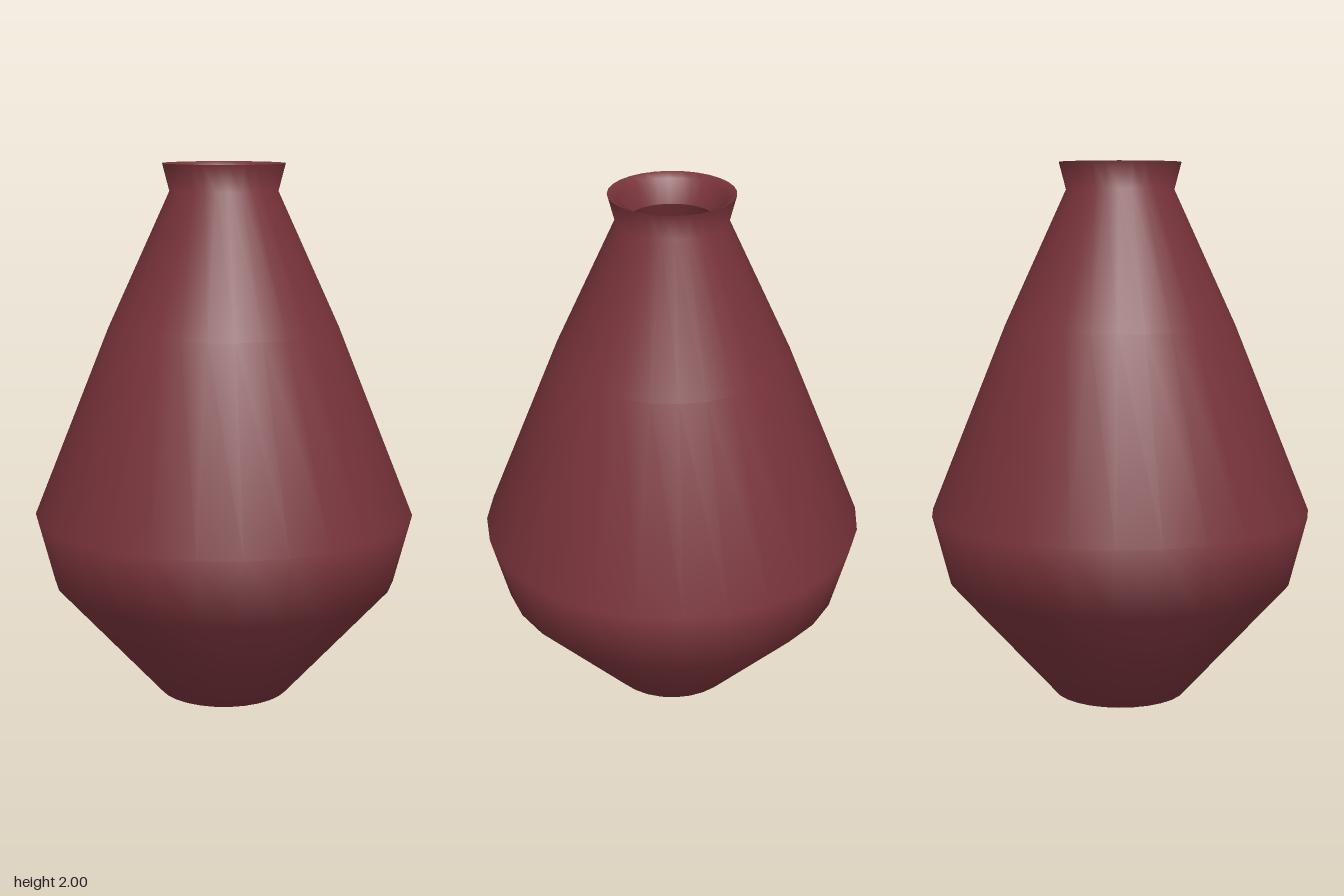
import * as THREE from 'three';

const SEGMENTS = 28;

export function createModel() {
  const vase = new THREE.Group();
  vase.name = 'vase';

  const clay = new THREE.MeshStandardMaterial({ color: 0x78333a });
  clay.name = 'dark red clay';

  const addLathe = (name, profile) => {
    const points = profile.map(([r, y]) => new THREE.Vector2(r, y));
    const mesh = new THREE.Mesh(new THREE.LatheGeometry(points, SEGMENTS), clay);
    mesh.name = name;
    vase.add(mesh);
  };

  // Outer wall: closed base, angular belly, tapering shoulder, flared neck
  addLathe('outerBody', [
    [0, 0], [0.25, 0], [0.645, 0.44], [0.712, 0.7],
    [0.43, 1.4], [0.2, 1.9], [0.226, 2],
  ]);

  // Lip joining the outer wall to the inside of the neck
  addLathe('lip', [[0.226, 2], [0.19, 1.985], [0.16, 1.9]]);

  // Hollow interior, running from the neck down to the floor
  addLathe('innerWall', [
    [0.16, 1.9], [0.39, 1.39], [0.665, 0.7], [0.6, 0.46], [0.23, 0.04],
  ]);

  // Flat inside floor
  addLathe('floor', [[0.23, 0.04], [0, 0.04]]);

  return vase;
}
